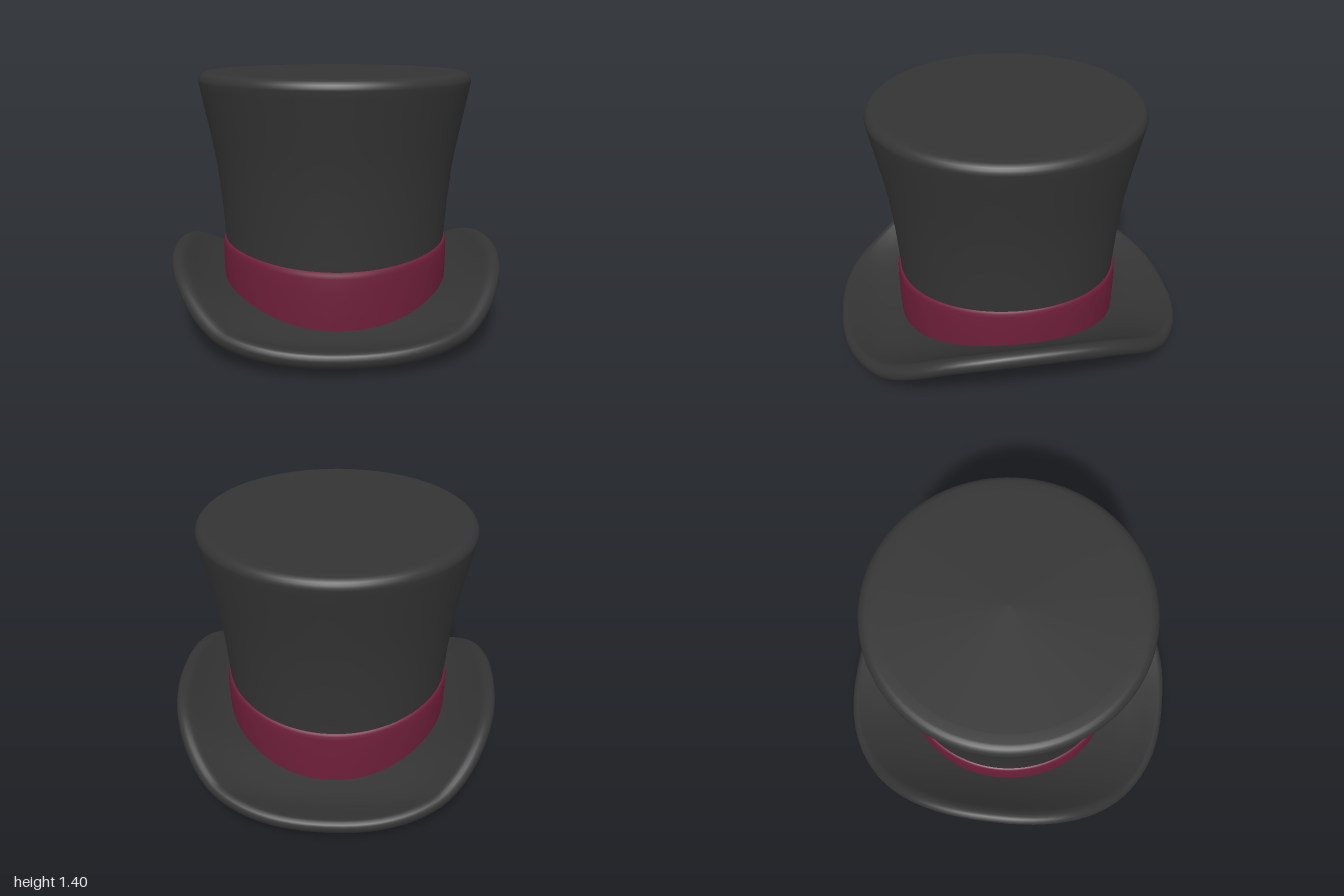
import * as THREE from 'three';

const SEGMENTS = 96;
const HALF_THICKNESS = 0.045;

// Closed-loop skin: point(i, t) gives a vertex on ring i at angle t; rings run from below, outward and up
function loft(rings, point) {
  const positions = [], index = [];
  for (let i = 0; i < rings; i++) {
    for (let j = 0; j < SEGMENTS; j++) {
      positions.push(...point(i, (j / SEGMENTS) * Math.PI * 2));
      if (i === rings - 1) continue;
      const a = i * SEGMENTS + j, b = i * SEGMENTS + (j + 1) % SEGMENTS;
      index.push(a, a + SEGMENTS, b, b, a + SEGMENTS, b + SEGMENTS);
    }
  }
  const geometry = new THREE.BufferGeometry();
  geometry.setAttribute('position', new THREE.Float32BufferAttribute(positions, 3));
  geometry.setIndex(index);
  geometry.computeVertexNormals();
  return geometry;
}

// Mid-surface of the brim: curls up at the sides, dips a little at front and back
function brimHeight(x, z) {
  const d = Math.abs(z);
  return 0.085 + 0.18 * x ** 2 + 0.24 * x ** 4
    - 0.04 * THREE.MathUtils.smoothstep(d, 0.4, 0.8) + 0.25 * Math.max(0, d - 0.8);
}

function brimGeometry() {
  // Profile as [scale of outline, outward reach, offset along the normal]
  const profile = [];
  for (let i = 0; i <= 12; i++) profile.push([i / 12, 0, -HALF_THICKNESS]);
  for (let i = 1; i < 10; i++) {
    const a = -Math.PI / 2 + (Math.PI * i) / 10;
    profile.push([1, HALF_THICKNESS * Math.cos(a), HALF_THICKNESS * Math.sin(a)]);
  }
  for (let i = 0; i <= 8; i++) profile.push([1 - 0.06 * i, 0, HALF_THICKNESS]);

  const power = 2 / 2.4;
  const round = (v) => Math.sign(v) * Math.abs(v) ** power;
  return loft(profile.length, (i, t) => {
    const [scale, reach, offset] = profile[i];
    const ox = 0.875 * round(Math.cos(t)), oz = 0.957 * round(Math.sin(t));
    const k = scale + reach / Math.hypot(ox, oz);
    const x = ox * k, z = oz * k;
    const slope = 0.36 * x + 0.96 * x ** 3;
    const n = Math.hypot(slope, 1);
    return [x - (offset * slope) / n, brimHeight(x, z) + offset / n, z];
  });
}

function bandGeometry() {
  // Profile as [radius, share of the height, drop from the top edge]
  const profile = [[0.638, 0, 0], [0.643, 0.35, 0], [0.645, 0.7, 0], [0.643, 1, 0.035],
    [0.64, 1, 0.015], [0.634, 1, 0.004], [0.615, 1, 0]];
  return loft(profile.length, (i, t) => {
    const [r, share, drop] = profile[i];
    const x = r * Math.cos(t), z = r * Math.sin(t);
    const bottom = brimHeight(x, z);
    const top = 0.42 + 0.052 * Math.cos(t) ** 2;
    return [x, bottom + (top - bottom) * share - drop, z];
  });
}

function crownGeometry() {
  const points = [[0.62, 0.2], [0.628, 0.45], [0.645, 0.68], [0.667, 0.88], [0.695, 1.04],
    [0.728, 1.2], [0.75, 1.31]].map(([x, y]) => new THREE.Vector2(x, y));
  // Rounded top edge
  for (let i = 0; i <= 6; i++) {
    const a = (i / 6) * Math.PI / 2;
    points.push(new THREE.Vector2(0.708 + 0.05 * Math.cos(a), 1.35 + 0.053 * Math.sin(a)));
  }
  points.push(new THREE.Vector2(0.66, 1.404), new THREE.Vector2(0, 1.405));
  return new THREE.LatheGeometry(points, SEGMENTS);
}

export function createModel() {
  const felt = new THREE.MeshStandardMaterial({ color: 0x343434 });
  felt.name = 'charcoal felt';
  const ribbon = new THREE.MeshStandardMaterial({ color: 0x6e1f3a });
  ribbon.name = 'burgundy ribbon';

  const hat = new THREE.Group();
  hat.name = 'topHat';
  const add = (name, geometry, material) => {
    const mesh = new THREE.Mesh(geometry, material);
    mesh.name = name;
    hat.add(mesh);
  };
  add('brim', brimGeometry(), felt);
  add('crown', crownGeometry(), felt);
  add('hatBand', bandGeometry(), ribbon);
  return hat;
}
